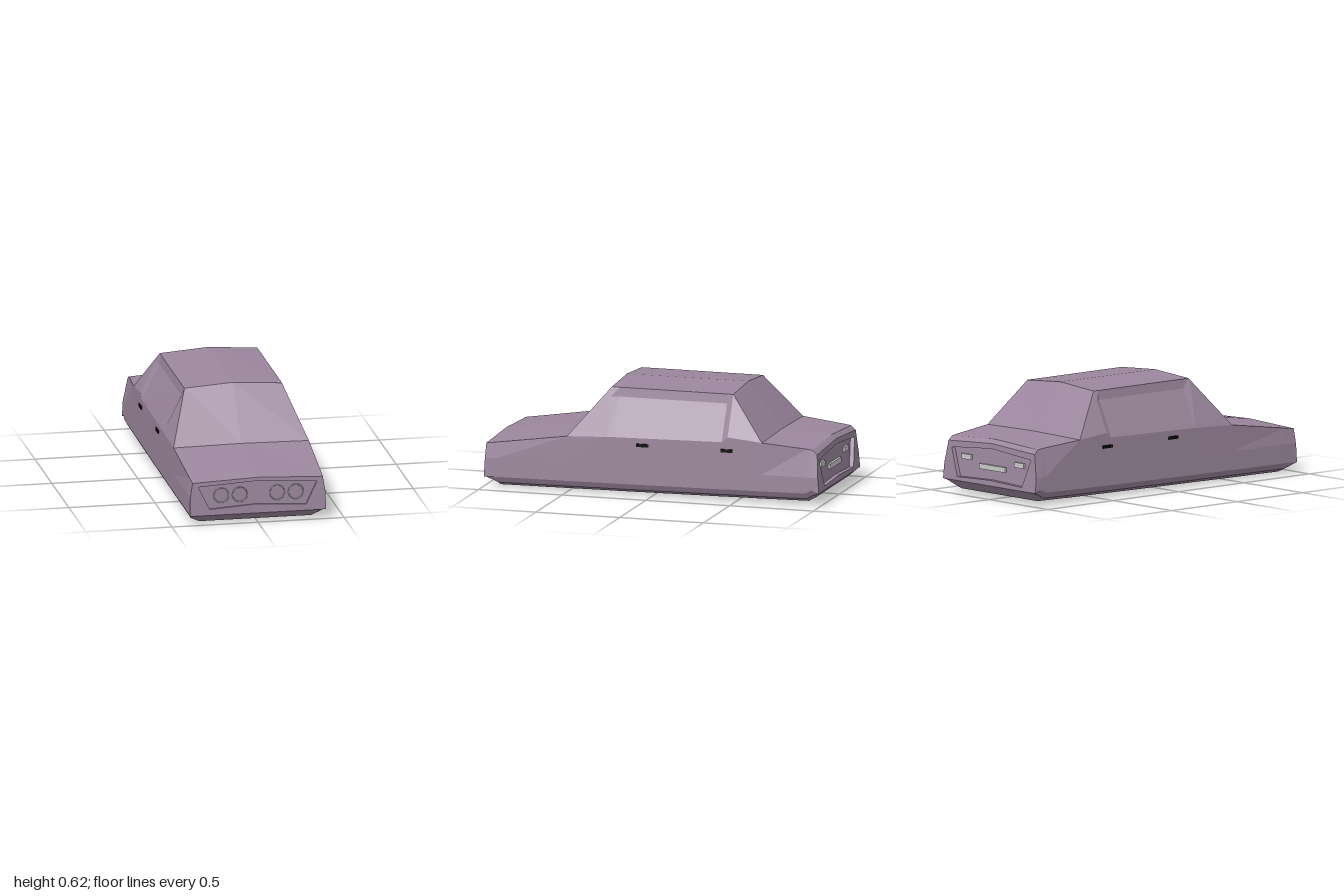
import * as THREE from 'three';

const paint = new THREE.MeshStandardMaterial({ color: 0x9c879e, flatShading: true });
const paintThin = new THREE.MeshStandardMaterial({ color: 0x9c879e, flatShading: true, side: THREE.DoubleSide });
const grey = new THREE.MeshStandardMaterial({ color: 0xcccccc });
const black = new THREE.MeshStandardMaterial({ color: 0x080808 });

// End faces lean slightly inwards towards the top
const frontZ = y => 1 - 0.05 * (y - 0.057);
const rearZ = y => -1 + 0.083 * (y - 0.08);

function add(parent, name, geometry, material, x = 0, y = 0, z = 0) {
  const mesh = new THREE.Mesh(geometry, material);
  mesh.name = name;
  mesh.position.set(x, y, z);
  parent.add(mesh);
  return mesh;
}

// Flat-faced geometry from quads of Vector3 corners, skipping empty triangles
function quadGeometry(quads) {
  const points = [];
  const area = new THREE.Triangle();
  for (const [a, b, c, d] of quads)
    for (const t of [[a, b, c], [a, c, d]])
      if (area.set(...t).getArea() > 1e-7) points.push(...t);
  const geometry = new THREE.BufferGeometry().setFromPoints(points);
  geometry.computeVertexNormals();
  return geometry;
}

// Full ring from a right-hand half section; z is a number or a function of y
function ring(z, half) {
  const zAt = typeof z === 'function' ? z : () => z;
  const left = half.map(([x, y]) => new THREE.Vector3(x, y, zAt(y)));
  const right = left.slice(1, -1).reverse().map(p => new THREE.Vector3(-p.x, p.y, p.z));
  return [...left, ...right];
}

function loft(rings) {
  const quads = [];
  for (let s = 0; s < rings.length - 1; s++) {
    const p = rings[s], q = rings[s + 1], n = p.length;
    for (let i = 0; i < n; i++) {
      const j = (i + 1) % n;
      quads.push([p[i], q[i], q[j], p[j]]);
    }
  }
  return quadGeometry(quads);
}

// Section: floor, chamfer, sill, flank, belt, window top, roof edge, roof centre
function section(z, floorY, belt, windowTop, roofEdge, topY) {
  return ring(z, [[0, floorY], [0.325, floorY], [0.375, floorY + 0.022], [0.395, floorY + 0.056],
    [0.395, 0.17], belt, windowTop, roofEdge, [0, topY]]);
}
const deck = (z, floorY, edge, topY) => section(z, floorY, edge, edge, edge, topY);

function endRing(z, sillY, flank, edge, topY) {
  return ring(z, [[0, sillY], [0.33, sillY], [0.375, sillY], [0.395, sillY], flank, edge, edge, edge, [0, topY]]);
}

// End face with a recessed panel; side is +1 for front, -1 for rear
function endFace(name, outline, opening, zAt, side, depth) {
  const group = new THREE.Group();
  group.name = name;
  const mirror = half => [...half, ...half.slice().reverse().filter(p => p[0] > 0).map(([x, y]) => [-x, y])]
    .map(([x, y]) => new THREE.Vector2(x, y));
  const place = (shape, inset) => {
    const geometry = new THREE.ShapeGeometry(shape);
    const pos = geometry.attributes.position;
    for (let i = 0; i < pos.count; i++)
      pos.setXYZ(i, pos.getX(i) * side, pos.getY(i), zAt(pos.getY(i)) - side * inset);
    geometry.computeVertexNormals();
    return geometry;
  };
  const hole = mirror(opening);
  const face = new THREE.Shape(mirror(outline));
  face.holes.push(new THREE.Path(hole));
  add(group, name + 'Surround', place(face, 0), paint);
  add(group, name + 'Panel', place(new THREE.Shape(hole), depth), paint);
  const at = (p, inset) => new THREE.Vector3(p.x, p.y, zAt(p.y) - side * inset);
  const walls = hole.map((p, i) => {
    const q = hole[(i + 1) % hole.length];
    return [at(p, 0), at(q, 0), at(q, depth), at(p, depth)];
  });
  add(group, name + 'RecessWalls', quadGeometry(walls), paintThin);
  return group;
}

export function createModel() {
  const car = new THREE.Group();
  car.name = 'car';

  // Body shell, from nose to tail
  add(car, 'bodyShell', loft([
    endRing(frontZ, 0.057, [0.393, 0.16], [0.378, 0.25], 0.265),
    deck(0.92, 0.003, [0.381, 0.26], 0.274),
    deck(0.505, 0.006, [0.393, 0.322], 0.327),
    section(0.27, 0.008, [0.395, 0.332], [0.305, 0.55], [0.283, 0.603], 0.622),
    section(0.22, 0.008, [0.395, 0.334], [0.293, 0.55], [0.284, 0.603], 0.622),
    section(-0.42, 0.014, [0.395, 0.345], [0.293, 0.55], [0.284, 0.603], 0.624),
    section(-0.455, 0.015, [0.395, 0.375], [0.309, 0.55], [0.283, 0.603], 0.624),
    deck(-0.66, 0.017, [0.395, 0.355], 0.362),
    deck(-0.92, 0.021, [0.368, 0.33], 0.347),
    deck(-0.955, 0.04, [0.366, 0.325], 0.345),
    endRing(rearZ, 0.08, [0.392, 0.17], [0.368, 0.3], 0.322),
  ]), paint);

  // Nose with shallow grille recess
  car.add(endFace('nose',
    [[0, 0.057], [0.395, 0.057], [0.393, 0.16], [0.378, 0.25], [0, 0.265]],
    [[0, 0.11], [0.28, 0.092], [0.345, 0.225], [0, 0.245]], frontZ, 1, 0.01));

  // Tail with deeper lamp recess
  car.add(endFace('tail',
    [[0, 0.08], [0.395, 0.08], [0.392, 0.17], [0.368, 0.3], [0, 0.322]],
    [[0, 0.112], [0.275, 0.102], [0.338, 0.265], [0, 0.292]], rearZ, -1, 0.025));

  // Twin headlamps with grey rims
  for (const x of [-0.212, -0.104, 0.113, 0.221]) {
    const lens = new THREE.CylinderGeometry(0.041, 0.041, 0.01, 32).rotateX(Math.PI / 2);
    add(car, 'headlampLens', lens, paint, x, 0.17, 0.986);
    add(car, 'headlampRim', new THREE.TorusGeometry(0.0425, 0.003, 8, 40), grey, x, 0.17, 0.991);
  }

  // Tail lamps and rear plate
  for (const x of [-0.225, 0.225])
    add(car, 'tailLamp', new THREE.BoxGeometry(0.08, 0.03, 0.02), grey, x, 0.22, -0.965);
  add(car, 'rearPlate', new THREE.BoxGeometry(0.22, 0.03, 0.02), grey, 0, 0.18, -0.969);

  // Door handles
  for (const side of [-1, 1])
    for (const z of [0.052, -0.45])
      add(car, 'doorHandle', new THREE.BoxGeometry(0.012, 0.018, 0.072), black, side * 0.396, 0.296, z);

  // Underbody panel, following the slight rise of the floor
  const panel = add(car, 'underbodyPanel', new THREE.BoxGeometry(0.62, 0.006, 1.4), grey, 0, 0.0105, 0);
  panel.rotation.x = 0.0093;

  return car;
}
